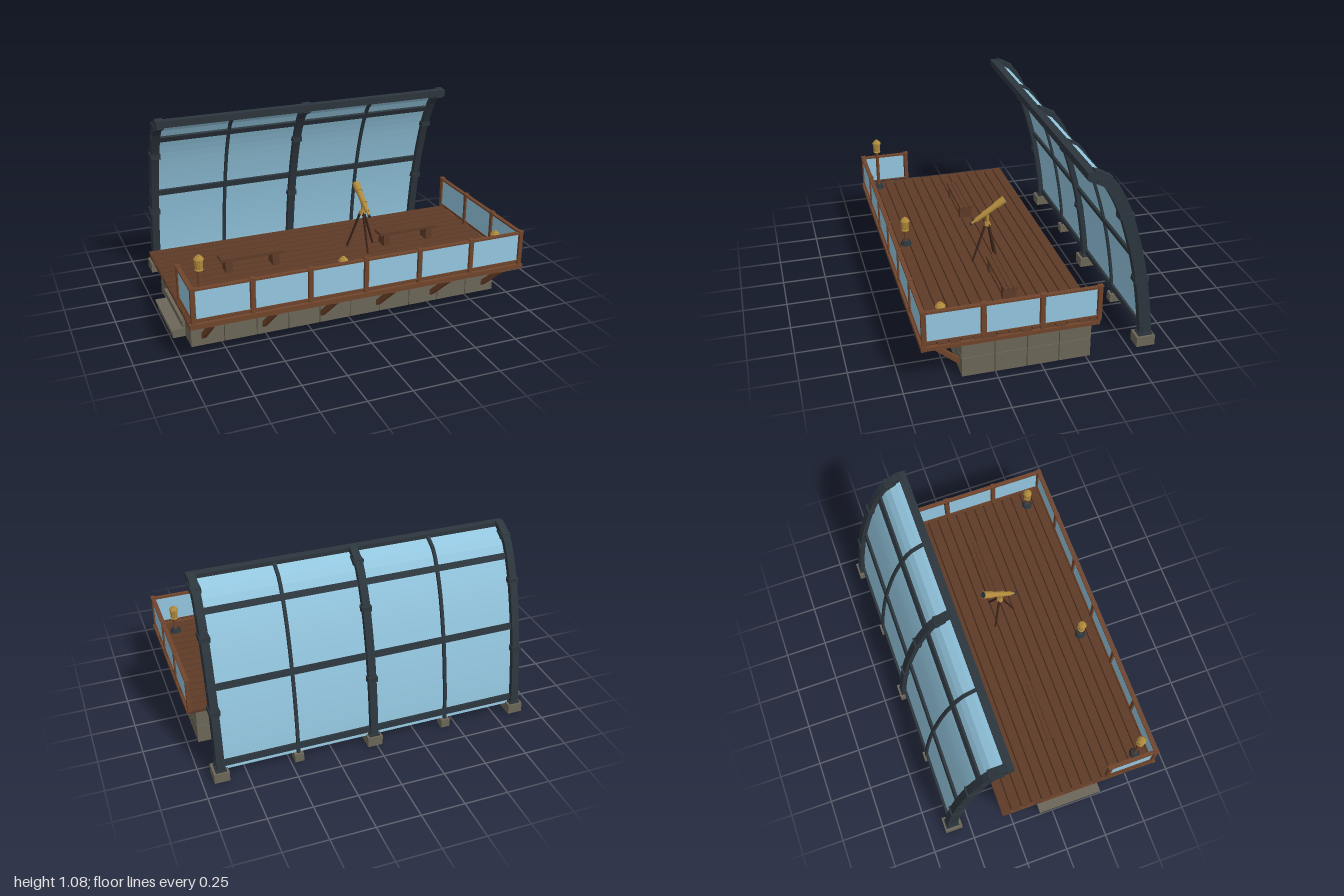
import * as THREE from 'three';

const mat = (name, color, extra = {}) => {
  const m = new THREE.MeshStandardMaterial({ color, ...extra });
  m.name = name;
  return m;
};

export function createModel() {
  const model = new THREE.Group();
  model.name = 'observationDeck';
  const plankWood = mat('plank wood', 0x5e3b27);
  const railWood = mat('rail wood', 0x70442b);
  const darkWood = mat('dark wood', 0x3d2519);
  const stone = mat('stone', 0x6c6658);
  const mortar = mat('mortar', 0x49453b);
  const steel = mat('dark steel', 0x2c363d);
  const glass = mat('glass', 0x93c6df, { side: THREE.DoubleSide });
  const brass = mat('brass', 0xb08a3c);

  const group = (name, parent = model) => {
    const g = new THREE.Group();
    g.name = name;
    parent.add(g);
    return g;
  };
  const add = (parent, name, geo, material, x = 0, y = 0, z = 0) => {
    const m = new THREE.Mesh(geo, material);
    m.name = name;
    m.position.set(x, y, z);
    parent.add(m);
    return m;
  };
  // box given by its minimum and maximum on each axis
  const box = (parent, name, material, x0, x1, y0, y1, z0, z1) =>
    add(parent, name, new THREE.BoxGeometry(x1 - x0, y1 - y0, z1 - z0), material,
      (x0 + x1) / 2, (y0 + y1) / 2, (z0 + z1) / 2);
  // bar or tapered rod running from a to b
  const rod = (parent, name, material, a, b, r0, r1 = r0, sides = 12) => {
    const A = new THREE.Vector3(...a), B = new THREE.Vector3(...b);
    const m = add(parent, name, new THREE.CylinderGeometry(r1, r0, A.distanceTo(B), sides), material);
    m.position.copy(A).add(B).multiplyScalar(0.5);
    m.quaternion.setFromUnitVectors(new THREE.Vector3(0, 1, 0), B.sub(A).normalize());
    return m;
  };

  // Stone foundation: mortar core faced with blocks
  const foundation = group('foundation');
  const FX0 = -0.92, FX1 = 0.94, FZ0 = -0.275, FZ1 = 0.43, H = 0.228, gap = 0.005;
  box(foundation, 'mortarCore', mortar, FX0 + 0.006, FX1 - 0.006, 0, H, FZ0 + 0.006, FZ1 - 0.006);
  const cols = 10, rows = 4, bw = (FX1 - FX0) / cols, bd = (FZ1 - FZ0) / rows;
  for (let level = 0; level < 2; level++) {
    const y0 = level * H / 2 + (level ? gap / 2 : 0), y1 = (level + 1) * H / 2 - gap / 2;
    for (let i = 0; i < cols; i++) for (const z of [FZ0, FZ1 - 0.05])
      box(foundation, 'stoneBlock', stone, FX0 + i * bw + (i ? gap / 2 : 0),
        FX0 + (i + 1) * bw - (i < cols - 1 ? gap / 2 : 0), y0, y1, z, z + 0.05);
    for (let j = 0; j < rows; j++) for (const x of [FX0, FX1 - 0.05])
      box(foundation, 'stoneBlock', stone, x, x + 0.05, y0, y1,
        FZ0 + j * bd + (j ? gap / 2 : 0), FZ0 + (j + 1) * bd - (j < rows - 1 ? gap / 2 : 0));
  }

  // Entrance steps on the right side
  const steps = group('steps');
  [[-0.99, -1, 0.055], [-0.935, -0.945, 0.115]].forEach(([riser, tread, top]) => {
    box(steps, 'stepRiser', stone, riser, FX0, 0, top - 0.014, -0.07, 0.3);
    box(steps, 'stepTread', stone, tread, FX0, top - 0.014, top, -0.08, 0.31);
  });

  // Deck: frame, planks and fascia
  const deck = group('deck');
  box(deck, 'deckFrame', darkWood, -0.955, 0.975, 0.228, 0.243, -0.3, 0.635);
  const planks = 15, pz = 0.94 / planks;
  for (let i = 0; i < planks; i++) {
    const z = -0.31 + i * pz, end = 0.006 * ((i * 7) % 3);
    box(deck, 'plank', plankWood, -0.972 + end * 0.5, 0.985 - end, 0.238, 0.255, z, z + pz - 0.007);
  }
  box(deck, 'frontFascia', railWood, -0.975, 0.995, 0.228, 0.255, 0.627, 0.65);
  box(deck, 'sideFascia', railWood, 0.97, 0.992, 0.228, 0.25, -0.3, 0.63);
  box(deck, 'sideFascia', railWood, -0.972, -0.955, 0.228, 0.25, -0.3, 0.63);

  // Diagonal braces under the overhang
  const braces = group('braces');
  for (let i = 0; i < 6; i++) {
    const m = box(braces, 'brace', railWood, -0.0125, 0.0125, -0.013, 0.013, -0.135, 0.135);
    m.position.set(-0.85 + i * 0.345, 0.137, 0.522);
    m.rotation.x = -Math.atan2(0.165, 0.19);
  }

  // Railing with glass infill: one run between two ground points
  const railing = group('railing');
  const run = (name, x0, z0, x1, z1, bays) => {
    const g = group(name, railing), L = Math.hypot(x1 - x0, z1 - z0), s = L / bays;
    g.position.set(x0, 0, z0);
    g.rotation.y = Math.atan2(-(z1 - z0), x1 - x0);
    for (let i = 0; i <= bays; i++) {
      box(g, 'railPost', railWood, i * s - 0.011, i * s + 0.011, 0.25, 0.452, -0.011, 0.011);
      box(g, 'postCap', railWood, i * s - 0.014, i * s + 0.014, 0.452, 0.459, -0.014, 0.014);
    }
    box(g, 'topRail', railWood, 0, L, 0.443, 0.453, -0.012, 0.012);
    box(g, 'bottomRail', railWood, 0, L, 0.272, 0.281, -0.008, 0.008);
    for (let i = 0; i < bays; i++)
      box(g, 'railGlass', glass, i * s + 0.017, (i + 1) * s - 0.017, 0.281, 0.44, -0.004, 0.004);
  };
  run('frontRailing', -0.952, 0.633, 0.977, 0.633, 6);
  run('leftRailing', 0.977, 0.633, 0.977, -0.3, 3);
  run('rightRailing', -0.952, 0.633, -0.952, 0.35, 1);

  // Lanterns: one on a tall post, two low ones
  const lantern = (x, z, y) => {
    const g = group('lantern');
    g.position.set(x, 0, z);
    rod(g, 'lanternBase', steel, [0, 0.25, 0], [0, 0.28, 0], 0.036, 0.025, 8);
    rod(g, 'lanternPost', railWood, [0, 0.27, 0], [0, y, 0], 0.0105);
    const pts = [[0, 0], [0.02, 0], [0.024, 0.006], [0.018, 0.01], [0.021, 0.058], [0.028, 0.06],
      [0.028, 0.066], [0.017, 0.08], [0.01, 0.082], [0.008, 0.088], [0, 0.09]];
    const geo = new THREE.LatheGeometry(pts.map(p => new THREE.Vector2(...p)), 8).toNonIndexed();
    geo.computeVertexNormals();
    add(g, 'lanternHead', geo, brass, 0, y, 0);
    for (let i = 0; i < 8; i++) {
      const a = i * Math.PI / 4;
      rod(g, 'lanternBar', brass, [0.019 * Math.sin(a), y + 0.01, 0.019 * Math.cos(a)],
        [0.022 * Math.sin(a), y + 0.06, 0.022 * Math.cos(a)], 0.002, 0.002, 4);
    }
  };
  lantern(-0.887, 0.55, 0.508);
  lantern(-0.075, 0.522, 0.345);
  lantern(0.877, 0.522, 0.345);

  // Slatted benches
  for (const x of [-0.47, 0.515]) {
    const g = group('bench');
    g.position.set(x, 0, 0.097);
    for (let i = -1; i <= 1; i++)
      box(g, 'benchSlat', plankWood, -0.187, 0.187, 0.325, 0.341, i * 0.028 - 0.0125, i * 0.028 + 0.0125);
    for (const s of [-0.14, 0.14])
      box(g, 'benchLeg', plankWood, s - 0.02, s + 0.02, 0.25, 0.325, -0.037, 0.037);
  }

  // Telescope on a tripod
  const scope = group('telescope');
  scope.position.set(0.225, 0, 0.1);
  for (const [x, z] of [[-0.075, -0.055], [0.09, -0.04], [0, 0.09]])
    rod(scope, 'tripodLeg', darkWood, [x, 0.252, z], [x * 0.12, 0.485, z * 0.12], 0.006, 0.008, 8);
  rod(scope, 'tripodHead', brass, [0, 0.478, 0], [0, 0.497, 0], 0.021, 0.015);
  rod(scope, 'mountPost', brass, [0, 0.495, 0], [0, 0.55, 0], 0.009);
  // distances along the tube from eyepiece to objective
  const E = [0, 0.493, 0.102], D = new THREE.Vector3(0, 0.138, -0.207).normalize();
  const at = t => [0, E[1] + D.y * t, E[2] + D.z * t];
  [[0, 0.012, 0.009, 0.009, steel], [0.01, 0.045, 0.006, 0.008, brass], [0.04, 0.1, 0.013, 0.015, brass],
    [0.1, 0.108, 0.019, 0.019, brass], [0.105, 0.19, 0.0165, 0.0175, brass],
    [0.185, 0.246, 0.021, 0.022, brass], [0.246, 0.249, 0.018, 0.018, steel]]
    .forEach(([a, b, r0, r1, m]) => rod(scope, 'telescopeTube', m, at(a), at(b), r0, r1, 16));

  // Curved glass screen: (z, y) centre line of the ribs
  const screen = group('curvedScreen');
  const line = new THREE.CatmullRomCurve3([[-0.603, 0.05], [-0.588, 0.2], [-0.553, 0.42], [-0.512, 0.6],
    [-0.45, 0.8], [-0.39, 0.93], [-0.335, 1.01], [-0.25, 1.053]].map(([z, y]) => new THREE.Vector3(0, y, z)));
  const N = 24;
  const sweep = (thick, width) => {
    const a = [], b = [];
    for (let i = 0; i <= N; i++) {
      const p = line.getPointAt(i / N), t = line.getTangentAt(i / N);
      a.push(new THREE.Vector2(p.z - t.y * thick / 2, p.y + t.z * thick / 2));
      b.unshift(new THREE.Vector2(p.z + t.y * thick / 2, p.y - t.z * thick / 2));
    }
    const geo = new THREE.ExtrudeGeometry(new THREE.Shape([...a, ...b]), { depth: width, bevelEnabled: false });
    return geo.translate(0, 0, -width / 2).rotateY(-Math.PI / 2);
  };
  // point and lean of the centre line at a given height
  const atHeight = y => {
    let u = 0;
    while (u < 1 && line.getPointAt(u).y < y) u += 0.002;
    const t = line.getTangentAt(u);
    return { z: line.getPointAt(u).z, lean: Math.atan2(t.z, t.y) };
  };
  const CX = 0.01;
  add(screen, 'screenGlass', sweep(0.008, 1.77), glass, CX);
  for (const x of [-0.885, 0, 0.885]) {
    add(screen, 'mainRib', sweep(0.066, 0.044), steel, CX + x);
    box(screen, 'ribFooting', stone, CX + x - 0.043, CX + x + 0.043, 0, 0.058, -0.65, -0.545);
    box(screen, 'ribShoe', steel, CX + x - 0.03, CX + x + 0.03, 0.055, 0.068, -0.64, -0.56);
    for (const [y, z] of [[0.412, -0.554], [0.803, -0.447], [1.023, -0.317]])
      box(screen, 'ribCollar', steel, CX + x - 0.029, CX + x + 0.029, y - 0.015, y + 0.015, z - 0.04, z + 0.04);
  }
  for (const x of [-0.443, 0.443]) {
    add(screen, 'slimRib', sweep(0.036, 0.018), steel, CX + x);
    box(screen, 'slimFooting', stone, CX + x - 0.026, CX + x + 0.026, 0, 0.05, -0.632, -0.572);
  }
  for (const y of [0.095, 0.54, 0.922]) {
    const { z, lean } = atHeight(y);
    const m = add(screen, 'crossBeam', new THREE.BoxGeometry(1.82, 0.036, 0.036), steel, CX, y, z);
    m.rotation.x = lean;
  }
  box(screen, 'topBeam', steel, -0.9, 0.92, 1.033, 1.073, -0.27, -0.225);
  return model;
}
